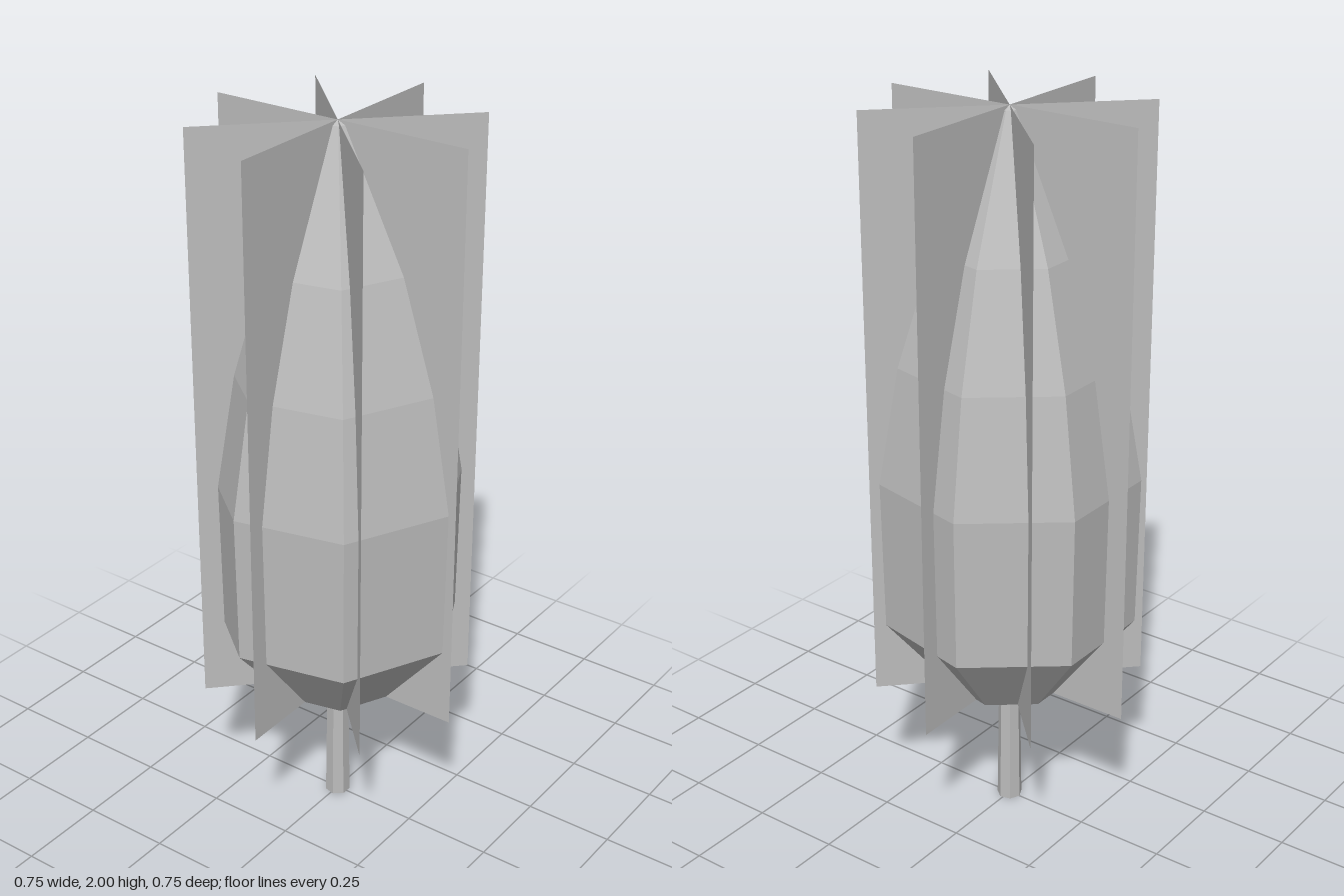
import * as THREE from 'three';

const SIDES = 7;

export function createModel() {
  const group = new THREE.Group();
  group.name = 'tree';

  const grey = new THREE.MeshStandardMaterial({ color: 0xbcbcbc, flatShading: true, side: THREE.DoubleSide });
  grey.name = 'plain grey';

  const add = (name, geometry) => {
    const mesh = new THREE.Mesh(geometry, grey);
    mesh.name = name;
    group.add(mesh);
    return mesh;
  };

  // Trunk: slim tapered post with flat sides
  const trunk = add('trunk', new THREE.CylinderGeometry(0.03, 0.035, 0.37, SIDES));
  trunk.position.y = 0.185;
  trunk.rotation.y = -Math.PI / 2;

  // Crown: seven-sided spindle with one corner on +x
  const profile = [
    [0.03, 0.345], [0.165, 0.385], [0.345, 0.6], [0.351, 1.02],
    [0.295, 1.34], [0.2, 1.64], [0.022, 1.99], [0, 2],
  ].map(([r, y]) => new THREE.Vector2(r, y));
  add('crown', new THREE.LatheGeometry(profile, SIDES, Math.PI / 2));

  // Foliage cards: four upright sheets crossing on the trunk axis
  for (let i = 0; i < 4; i++) {
    const card = add('foliageCard' + (i + 1), new THREE.PlaneGeometry(0.745, 1.615));
    card.position.y = 1.1925;
    card.rotation.y = (i * Math.PI) / 4;
  }

  return group;
}
